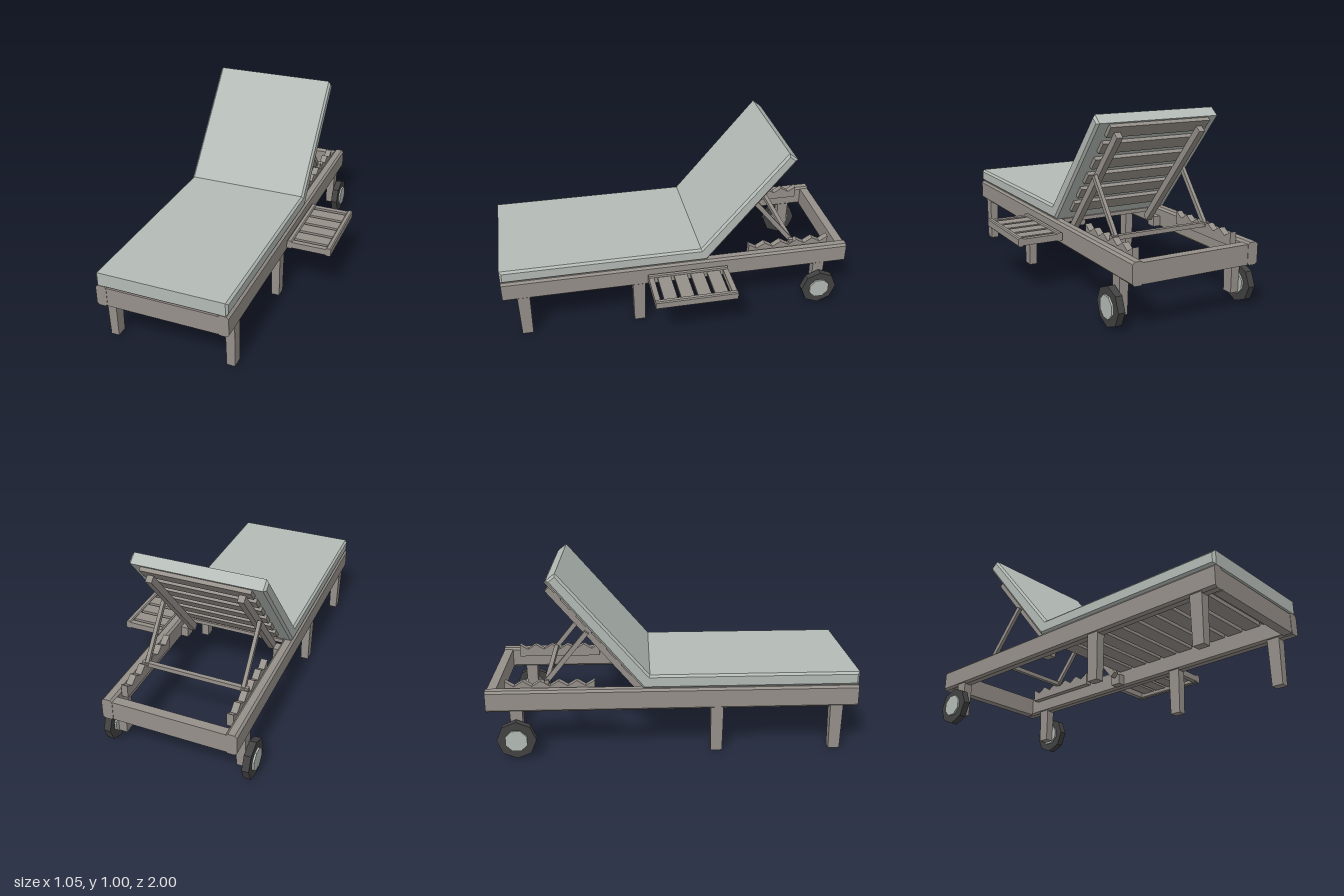
import * as THREE from 'three';

const wood = new THREE.MeshStandardMaterial({ color: 0x96908a, name: 'weatheredWood', flatShading: true });
const fabric = new THREE.MeshStandardMaterial({ color: 0xb4bbb6, name: 'paleGreyFabric', flatShading: true });
const rubber = new THREE.MeshStandardMaterial({ color: 0x424242, name: 'darkRubber', flatShading: true });

function add(parent, name, geometry, material, x = 0, y = 0, z = 0) {
  const mesh = new THREE.Mesh(geometry, material);
  mesh.name = name;
  mesh.position.set(x, y, z);
  parent.add(mesh);
  return mesh;
}

const box = (parent, name, w, h, d, x, y, z) =>
  add(parent, name, new THREE.BoxGeometry(w, h, d), wood, x, y, z);

const outline = (points) => new THREE.Shape(points.map(([u, v]) => new THREE.Vector2(u, v)));

// Bar along z with its four long edges chamfered
function chamferedBar(w, h, length, c) {
  const a = w / 2, b = h / 2;
  const shape = outline([[a - c, -b], [a, -b + c], [a, b - c], [a - c, b],
    [-a + c, b], [-a, b - c], [-a, -b + c], [-a + c, -b]]);
  return new THREE.ExtrudeGeometry(shape, { depth: length, bevelEnabled: false }).translate(0, 0, -length / 2);
}

// Side profile of [z, y] points, extruded across x and centred
function sideExtrude(points, width, bevel = 0) {
  const geometry = new THREE.ExtrudeGeometry(outline(points), {
    depth: width - 2 * bevel, bevelEnabled: bevel > 0, bevelSegments: 1,
    bevelSize: bevel, bevelThickness: bevel, bevelOffset: -bevel,
  });
  return geometry.translate(0, 0, -(width - 2 * bevel) / 2).rotateY(-Math.PI / 2);
}

// Box narrowing towards its foot
function taperedLeg(w, h, d, taper) {
  const geometry = new THREE.BoxGeometry(w, h, d);
  const p = geometry.attributes.position;
  for (let i = 0; i < p.count; i++) {
    if (p.getY(i) < 0) p.setXYZ(i, p.getX(i) * taper, p.getY(i), p.getZ(i) * taper);
  }
  geometry.computeVertexNormals();
  return geometry;
}

function makeWheel(side) {
  const wheel = new THREE.Group();
  wheel.name = side > 0 ? 'leftWheel' : 'rightWheel';
  add(wheel, 'tyre', new THREE.CylinderGeometry(0.106, 0.106, 0.038, 8).rotateZ(Math.PI / 2), rubber);
  add(wheel, 'hub', new THREE.CylinderGeometry(0.062, 0.062, 0.058, 8).rotateY(Math.PI / 8).rotateZ(Math.PI / 2), fabric);
  wheel.position.set(side * 0.388, 0.106, -0.84);
  return wheel;
}

function makeBackrest() {
  const back = new THREE.Group();
  back.name = 'backrestFrame';
  for (let i = 0; i < 6; i++) box(back, 'backSlat', 0.59, 0.075, 0.022, 0, 0.722 - i * 0.121, -0.011);
  for (const s of [-1, 1]) box(back, 'backRail', 0.035, 0.77, 0.038, s * 0.245, 0.335, -0.041);
  back.position.set(0, 0.375, -0.16);
  back.rotation.x = -0.695;
  return back;
}

function makeSideTable() {
  const table = new THREE.Group();
  table.name = 'sideTable';
  for (const x of [0.277, 0.505]) {
    add(table, 'tableRail', chamferedBar(0.03, 0.048, 0.46, 0.006), wood, x, 0.304, -0.045);
  }
  for (const z of [-0.26, 0.17]) box(table, 'tableEnd', 0.2, 0.036, 0.03, 0.391, 0.303, z);
  for (let i = 0; i < 4; i++) box(table, 'tableSlat', 0.2, 0.016, 0.075, 0.391, 0.312, -0.1875 + i * 0.095);
  return table;
}

export function createModel() {
  const model = new THREE.Group();
  model.name = 'sunLounger';
  const lounger = new THREE.Group();
  lounger.name = 'lounger';
  lounger.position.x = -0.109;
  model.add(lounger);

  // Bed frame
  for (const s of [-1, 1]) {
    add(lounger, 'sideRail', chamferedBar(0.06, 0.12, 2, 0.012), wood, s * 0.336, 0.31, 0);
    box(lounger, 'endBeam', 0.614, 0.108, 0.05, 0, 0.307, s * 0.973);
  }
  for (let i = 0; i < 10; i++) box(lounger, 'seatSlat', 0.614, 0.022, 0.09, 0, 0.36, 0.885 - i * 0.112);

  // Legs, pivots, wheels and notched rests
  const teeth = [[-0.9, 0.33], [-0.42, 0.33]];
  for (let i = 0; i < 6; i++) {
    teeth.push([-0.42 - i * 0.096, 0.404]);
    if (i < 5) teeth.push([-0.468 - i * 0.096, 0.374]);
  }
  for (const s of [-1, 1]) {
    for (const z of [0.885, 0.235]) {
      add(lounger, 'leg', taperedLeg(0.052, 0.26, 0.07, 0.88), wood, s * 0.336, 0.13, z);
    }
    add(lounger, 'rearLeg', taperedLeg(0.052, 0.2, 0.068, 0.9), wood, s * 0.336, 0.16, -0.84);
    box(lounger, 'pivotBlock', 0.045, 0.06, 0.06, s * 0.285, 0.29, -0.17);
    add(lounger, 'notchedRest', sideExtrude(teeth, 0.036), wood, s * 0.289, 0, 0);
    lounger.add(makeWheel(s));

    // Prop strut running down to the rests
    const strut = box(lounger, 'propStrut', 0.02, 0.36, 0.026, s * 0.272, 0.525, -0.57);
    strut.rotation.x = Math.atan2(0.22, 0.27);
  }
  box(lounger, 'propBar', 0.6, 0.024, 0.024, 0, 0.392, -0.677);

  // Folded cushion and the backrest behind it
  const cushion = [[1, 0.372], [1, 0.447], [-0.125, 0.447], [-0.6, 1.005], [-0.65, 0.965], [-0.16, 0.372]];
  add(lounger, 'cushion', sideExtrude(cushion.reverse(), 0.724, 0.012), fabric);
  lounger.add(makeBackrest());

  model.add(makeSideTable());
  return model;
}
